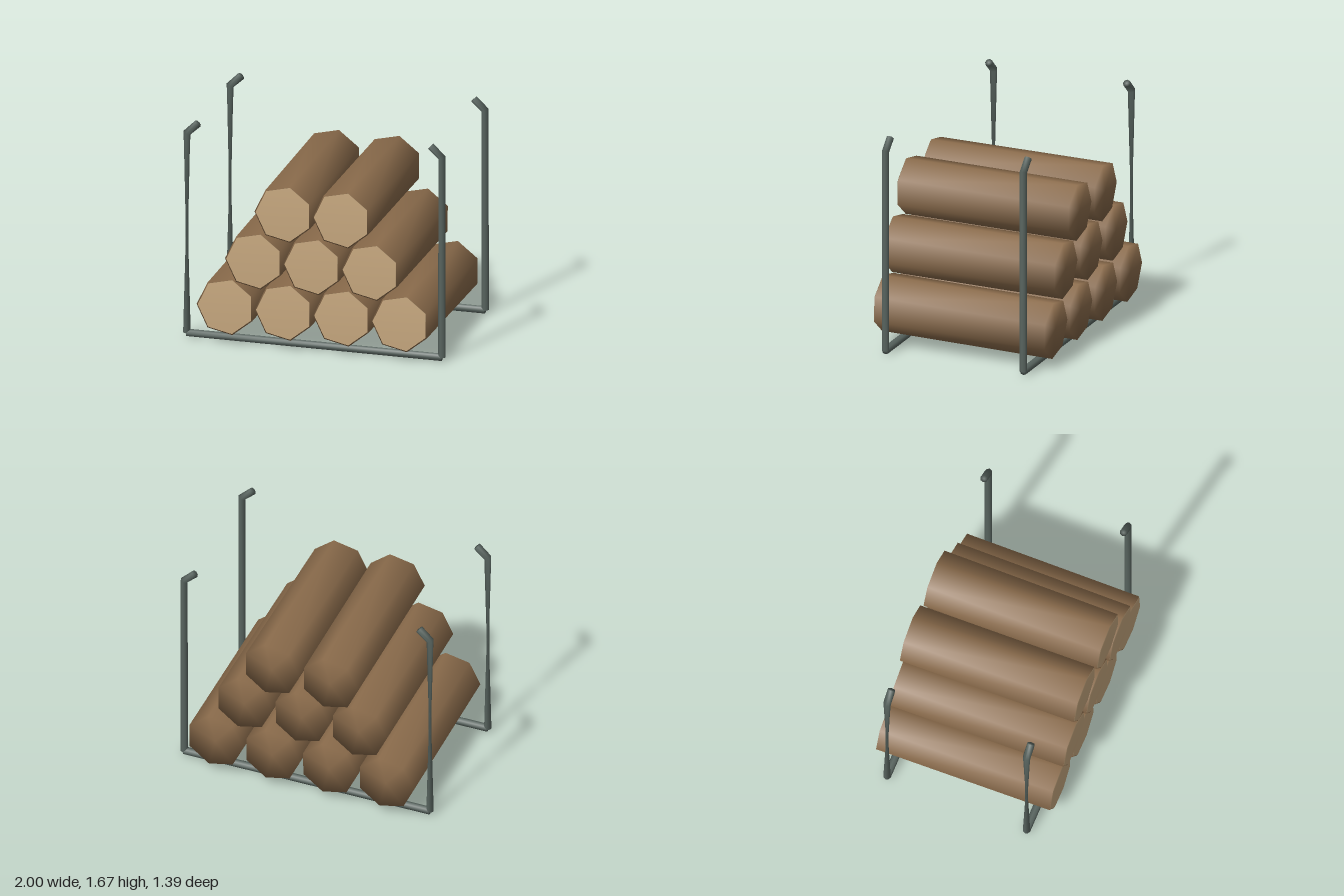
import * as THREE from 'three';

const mat = (name, color) => Object.assign(new THREE.MeshStandardMaterial({ color }), { name });
const V = (x, y, z) => new THREE.Vector3(x, y, z);

// Skins a list of rings (arrays of points) with shared, smooth vertices and closed ends.
function skin(rings) {
  const n = rings[0].length, pos = [], idx = [];
  rings.forEach(ring => ring.forEach(p => pos.push(p.x, p.y, p.z)));
  for (let k = 0; k < rings.length - 1; k++) {
    for (let i = 0; i < n; i++) {
      const a = k * n + i, an = k * n + (i + 1) % n;
      idx.push(a, an, a + n, an, an + n, a + n);
    }
  }
  const addCap = (k, flip) => {
    const c = pos.length / 3, mid = V(0, 0, 0);
    rings[k].forEach(p => mid.addScaledVector(p, 1 / n));
    pos.push(mid.x, mid.y, mid.z);
    for (let i = 0; i < n; i++) {
      const a = k * n + i, b = k * n + (i + 1) % n;
      idx.push(c, flip ? b : a, flip ? a : b);
    }
  };
  addCap(0, true);
  addCap(rings.length - 1, false);
  const geo = new THREE.BufferGeometry();
  geo.setAttribute('position', new THREE.Float32BufferAttribute(pos, 3));
  geo.setIndex(idx);
  geo.computeVertexNormals();
  return geo;
}

// Ring of n points around c, spanned by u and v.
function ringAt(c, u, v, r, n, start) {
  return Array.from({ length: n }, (_, i) => {
    const a = start + (i / n) * Math.PI * 2;
    return c.clone().addScaledVector(u, r * Math.cos(a)).addScaledVector(v, r * Math.sin(a));
  });
}

// Seven-sided prism from a to b, running towards the front.
function prism(a, b, r) {
  const t = b.clone().sub(a).normalize();
  const u = V(0, 1, 0).cross(t).normalize(), v = t.clone().cross(u);
  return skin([a, b].map(c => ringAt(c, u, v, r, 7, Math.PI / 7)));
}

// Round rod along points in an xy plane; the first ring can be twisted.
function rod(points, r, twist = 0) {
  const v = V(0, 0, -1);
  return skin(points.map((p, i) => {
    const t = V(0, 0, 0);
    if (i > 0) t.add(p.clone().sub(points[i - 1]).normalize());
    if (i < points.length - 1) t.add(points[i + 1].clone().sub(p).normalize());
    t.normalize();
    return ringAt(p, v.clone().cross(t), v, r, 8, i === 0 ? twist : 0);
  }));
}

export function createModel() {
  const bark = mat('bark', 0x8a6b4b);
  const cutWood = mat('cutWood', 0xc6a77e);
  const metal = mat('metal', 0x58645f);
  const model = new THREE.Group();
  model.name = 'firewoodRack';
  const add = (parent, name, geo, material) => {
    const mesh = new THREE.Mesh(geo, material);
    mesh.name = name;
    parent.add(mesh);
  };

  // Stacked logs: rows of four, three and two, each leaning slightly
  const R = 0.2215, step = 2 * R, rise = 0.38;
  const ends = [[-0.688, 0.662], [-0.67, 0.68], [-0.683, 0.672]];
  [4, 3, 2].forEach((count, row) => {
    for (let i = 0; i < count; i++) {
      const x = -0.636 + row * R + i * step, y = 0.308 + row * rise;
      const lean = -0.035 + 0.017 * i / (count - 1);
      const drop = row === 0 ? 0.027 : 0.018;
      const back = V(x + lean, y - drop, ends[row][0]);
      const front = V(x, y, ends[row][1]);
      const t = front.clone().sub(back).normalize();
      const log = new THREE.Group();
      log.name = 'log';
      add(log, 'logBark', prism(back, front, R), bark);
      // Thin pale disc on the sawn front end
      const disc = front.clone().addScaledVector(t, 0.006);
      add(log, 'cutFace', prism(front, disc, R - 0.01), cutWood);
      model.add(log);
    }
  });

  // Two metal frames: base bar, and on each side a post with an inward hook
  for (const [name, z] of [['frontFrame', 0.537], ['backFrame', -0.563]]) {
    const frame = new THREE.Group();
    frame.name = name;
    add(frame, 'baseBar', rod([V(-0.97, 0.033, z), V(0.97, 0.033, z)], 0.029), metal);
    for (const s of [1, -1]) {
      const path = [V(s * 0.97, 0.035, z), V(s * 0.97, 1.574, z), V(s * 0.885, 1.654, z)];
      // The right-hand posts are twisted half a turn, pinching at mid height
      add(frame, s > 0 ? 'leftPost' : 'rightPost', rod(path, 0.029, s > 0 ? 0 : Math.PI), metal);
    }
    model.add(frame);
  }
  return model;
}
